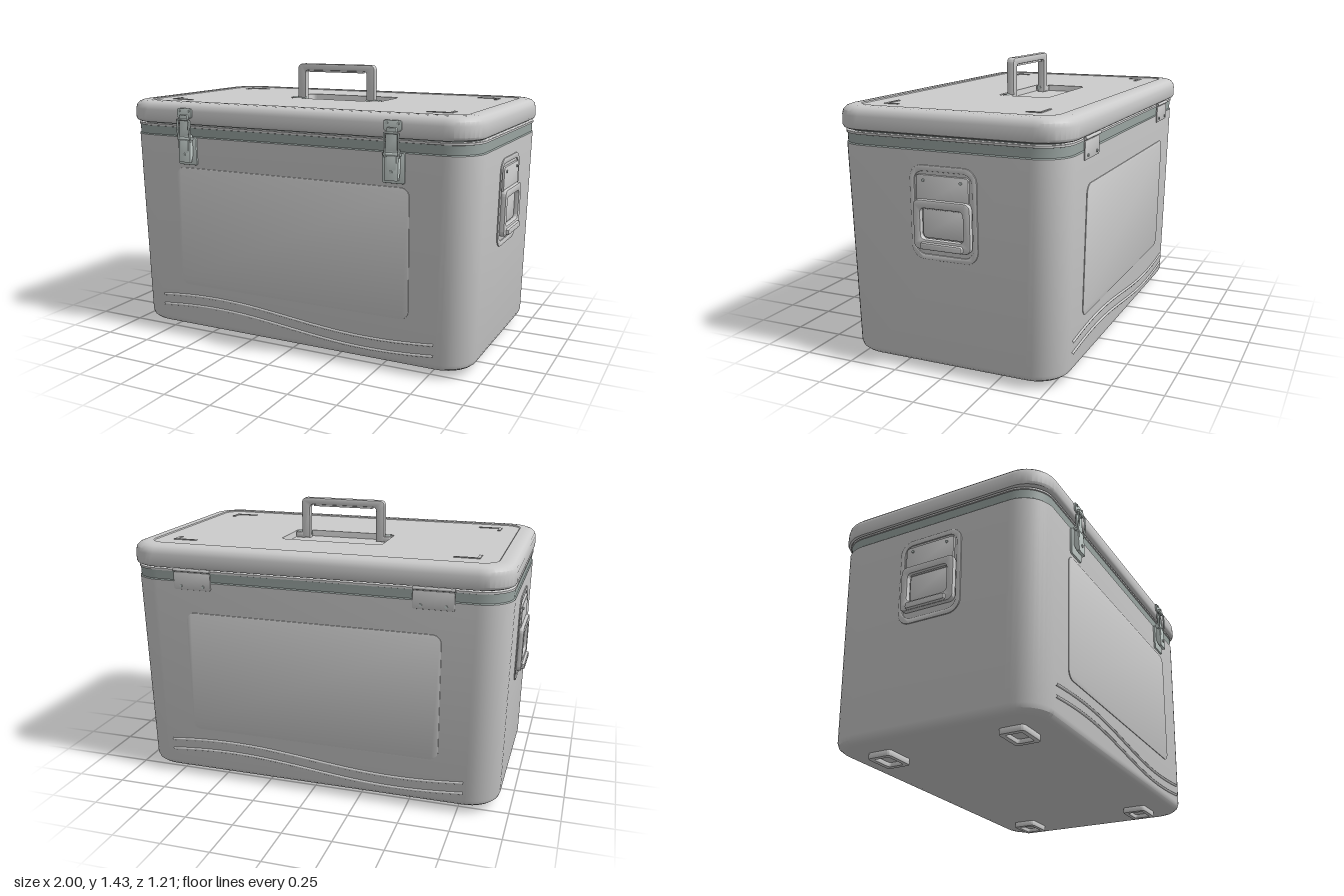
import * as THREE from 'three';
import { toCreasedNormals } from 'three/addons/utils/BufferGeometryUtils.js';

const grey = new THREE.MeshStandardMaterial({ color: 0xcccccc });
const bandGrey = new THREE.MeshStandardMaterial({ color: 0x9aa5a2 });
const metal = new THREE.MeshStandardMaterial({ color: 0xc4cecb });

function add(parent, name, geo, x = 0, y = 0, z = 0, mat = grey) {
  const mesh = new THREE.Mesh(geo, mat);
  mesh.name = name;
  mesh.position.set(x, y, z);
  parent.add(mesh);
  return mesh;
}

function group(parent, name, x = 0, y = 0, z = 0) {
  const g = new THREE.Group();
  g.name = name;
  g.position.set(x, y, z);
  parent.add(g);
  return g;
}

// rounded rectangle outline, centred on (cx, cy)
function roundRect(w, h, r, cx = 0, cy = 0, s = new THREE.Shape()) {
  const a = w / 2 - r, b = h / 2 - r;
  s.absarc(cx + a, cy + b, r, 0, Math.PI / 2);
  s.absarc(cx - a, cy + b, r, Math.PI / 2, Math.PI);
  s.absarc(cx - a, cy - b, r, Math.PI, Math.PI * 1.5);
  s.absarc(cx + a, cy - b, r, Math.PI * 1.5, Math.PI * 2);
  s.closePath();
  return s;
}

// bevelled plate standing on z = 0, with its outline kept at full size
function plate(shape, depth, bevel = 0.003) {
  const g = new THREE.ExtrudeGeometry(shape, {
    depth: depth - 2 * bevel, bevelThickness: bevel, bevelSize: bevel,
    bevelOffset: -bevel, bevelSegments: 2, curveSegments: 8,
  });
  g.translate(0, 0, bevel);
  return toCreasedNormals(g, 0.6);
}

// frame = rounded plate with a rounded opening
function frame(w, h, r, iw, ih, ir, depth, bevel, icy = 0) {
  const s = roundRect(w, h, r);
  s.holes.push(roundRect(iw, ih, ir, 0, icy, new THREE.Path()));
  return plate(s, depth, bevel);
}

// skin over rounded-rectangle rings [y, halfX, halfZ, radius]
function loft(rings, zc = 0, n = 10) {
  const pos = [], idx = [], m = 4 * (n + 1);
  for (const [y, hx, hz, r] of rings) {
    for (let c = 0; c < 4; c++) {
      const sx = c === 0 || c === 3 ? 1 : -1, sz = c < 2 ? 1 : -1;
      for (let i = 0; i <= n; i++) {
        const t = (c + i / n) * Math.PI / 2;
        pos.push(sx * (hx - r) + r * Math.cos(t), y, zc + sz * (hz - r) + r * Math.sin(t));
      }
    }
  }
  for (let k = 0; k < rings.length - 1; k++) {
    for (let j = 0; j < m; j++) {
      const a = k * m + j, b = k * m + (j + 1) % m;
      idx.push(a, a + m, b, b, a + m, b + m);
    }
  }
  const g = new THREE.BufferGeometry();
  g.setAttribute('position', new THREE.Float32BufferAttribute(pos, 3));
  g.setIndex(idx);
  return toCreasedNormals(g, 0.55);
}

function screw(parent, x, y, z, r = 0.007) {
  add(parent, 'screw', new THREE.CylinderGeometry(r, r, 0.006, 12).rotateX(Math.PI / 2), x, y, z, metal);
}

// group lying on one of the leaning walls: local z points outward
function wall(parent, name, angle, dist, tilt) {
  const g = group(parent, name, Math.sin(angle) * dist, 0, Math.cos(angle) * dist);
  g.rotation.set(tilt, angle, 0, 'YXZ');
  return g;
}

function longWall(parent, name, angle) {
  const g = wall(parent, name, angle, 0.551, 0.0213);
  add(g, 'wallPanel', plate(roundRect(1.305, 0.64, 0.045), 0.006, 0.002), 0, 0.59, -0.002);
  for (const y of [0.178, 0.122]) {
    const pts = [];
    for (let i = 0; i <= 16; i++) {
      const x = -0.78 + 1.56 * i / 16;
      pts.push(new THREE.Vector3(x, y - 0.032 * Math.sin(Math.PI * x / 0.9), 0.001));
    }
    add(g, 'waveRib', new THREE.TubeGeometry(new THREE.CatmullRomCurve3(pts), 48, 0.007, 8));
  }
  return g;
}

// drop handle with its mounting plate in a rounded surround
function sideHandle(parent, angle) {
  const g = group(wall(parent, 'sideWall', angle, 0.943, 0.0195), 'sideHandle', 0, 0.783, 0);
  add(g, 'surround', frame(0.34, 0.445, 0.065, 0.29, 0.39, 0.045, 0.008, 0.003), 0, 0, -0.002);
  add(g, 'mountPlate', plate(roundRect(0.265, 0.16, 0.015), 0.014), 0, 0.1, -0.002);
  for (const x of [-0.095, 0.095]) screw(g, x, 0.155, 0.014);
  add(g, 'handleRing', frame(0.29, 0.235, 0.03, 0.215, 0.145, 0.02, 0.03, 0.008, 0.005), 0, -0.05, 0);
  add(g, 'handlePad', plate(roundRect(0.21, 0.14, 0.018), 0.01), 0, -0.045, -0.002);
  add(g, 'gripBar', plate(roundRect(0.215, 0.034, 0.012), 0.045, 0.01), 0, -0.147, 0);
}

// over-centre latch: lid keeper, wire loop, base plate and curved lever
function latch(parent, x) {
  const g = group(parent, 'latch', x, 0, 0);
  add(g, 'keeper', plate(roundRect(0.09, 0.05, 0.012), 0.01), 0, 1.197, 0.59, metal);
  add(g, 'keeperHook', plate(roundRect(0.05, 0.022, 0.006), 0.018), 0, 1.178, 0.595, metal);
  for (const s of [-0.028, 0.028]) screw(g, s, 1.208, 0.602);
  const base = add(g, 'basePlate', plate(roundRect(0.112, 0.145, 0.01), 0.012), 0, 1.0, 0.57, metal);
  base.rotation.x = 0.0213;
  const side = new THREE.Shape();
  side.moveTo(0.578, 1.08);
  side.quadraticCurveTo(0.6, 1.1, 0.598, 1.09);
  side.quadraticCurveTo(0.612, 1.0, 0.61, 0.945);
  side.lineTo(0.594, 0.945);
  side.lineTo(0.578, 0.99);
  const lever = plate(side, 0.07).rotateY(-Math.PI / 2);
  add(g, 'lever', lever, 0.035, 0, 0, metal);
  add(g, 'leverFace', plate(roundRect(0.05, 0.1, 0.008), 0.006, 0.002), 0, 1.01, 0.603, metal);
  screw(g, 0, 0.985, 0.611, 0.008);
  const loop = [[-0.035, 1.05, 0.6], [-0.035, 1.1, 0.612], [-0.035, 1.165, 0.612], [0.035, 1.165, 0.612],
    [0.035, 1.1, 0.612], [0.035, 1.05, 0.6]].map(p => new THREE.Vector3(...p));
  const path = new THREE.CurvePath();
  for (let i = 0; i < 5; i++) path.add(new THREE.LineCurve3(loop[i], loop[i + 1]));
  add(g, 'wireLoop', new THREE.TubeGeometry(path, 60, 0.005, 8), 0, 0, 0, metal);
  add(g, 'loopPlate', plate(roundRect(0.066, 0.085, 0.008), 0.008), 0, 1.118, 0.592, metal);
  add(g, 'pivotPin', new THREE.CylinderGeometry(0.009, 0.009, 0.085, 12).rotateZ(Math.PI / 2), 0, 1.065, 0.598, metal);
}

export function createModel() {
  const root = new THREE.Group();
  root.name = 'coolBox';
  const box = group(root, 'box', 0, 0, -0.0125);

  // tapering tub with rounded bottom edge, colour band and recessed seal
  add(box, 'tub', loft([[0.03, 0, 0, 0], [0.03, 0.9, 0.505, 0.12], [0.036, 0.922, 0.53, 0.14],
    [0.05, 0.938, 0.546, 0.15], [0.07, 0.945, 0.5525, 0.155], [1.07, 0.964, 0.574, 0.155]]));
  add(box, 'band', loft([[1.07, 0.964, 0.574, 0.155], [1.075, 0.959, 0.569, 0.15], [1.122, 0.96, 0.57, 0.15]]), 0, 0, 0, bandGrey);
  add(box, 'tubRim', loft([[1.118, 0.958, 0.568, 0.15], [1.12, 0.965, 0.575, 0.155], [1.13, 0.965, 0.575, 0.155],
    [1.132, 0.96, 0.57, 0.15], [1.132, 0.9, 0.51, 0.1]]));
  add(box, 'seal', loft([[1.128, 0.945, 0.555, 0.14], [1.145, 0.945, 0.555, 0.14]]), 0, 0, 0, bandGrey);

  // lid with a stepped top panel and handle well
  const lid = group(box, 'lid');
  add(lid, 'lidShell', loft([[1.138, 0.9, 0.52, 0.1], [1.138, 0.955, 0.578, 0.145], [1.143, 0.964, 0.586, 0.15],
    [1.155, 0.97, 0.5925, 0.155], [1.205, 0.969, 0.5915, 0.155], [1.225, 0.964, 0.586, 0.15],
    [1.24, 0.95, 0.572, 0.14], [1.247, 0.932, 0.554, 0.13], [1.249, 0.91, 0.532, 0.11],
    [1.249, 0.885, 0.505, 0.085], [1.244, 0.88, 0.5, 0.08]]));
  const top = roundRect(1.76, 1.0, 0.08);
  top.holes.push(roundRect(0.54, 0.275, 0.03, 0, 0.085, new THREE.Path()));
  add(lid, 'lidPanel', new THREE.ShapeGeometry(top, 10).rotateX(-Math.PI / 2), 0, 1.244, 0);
  add(lid, 'handleWell', loft([[1.244, 0.27, 0.1375, 0.03], [1.214, 0.265, 0.1325, 0.026], [1.214, 0, 0, 0]], -0.085));

  // raised corner markers
  for (const sx of [-1, 1]) for (const sz of [-1, 1]) {
    const s = new THREE.Shape([[0, 0], [-0.125, 0], [-0.125, -0.014], [-0.016, -0.014], [-0.016, -0.075], [0, -0.075]]
      .map(([x, y]) => new THREE.Vector2(sx * x, sz * y)));
    add(lid, 'cornerMarker', plate(s, 0.006, 0.001).rotateX(-Math.PI / 2), sx * 0.79, 1.242, -sz * 0.403);
  }

  // carrying handle on the lid
  const handle = group(lid, 'topHandle', 0, 0, 0.0025);
  const u = new THREE.Shape();
  u.moveTo(-0.228, 1.215);
  u.lineTo(-0.228, 1.4); u.quadraticCurveTo(-0.228, 1.43, -0.198, 1.43);
  u.lineTo(0.198, 1.43); u.quadraticCurveTo(0.228, 1.43, 0.228, 1.4);
  u.lineTo(0.228, 1.215); u.lineTo(0.182, 1.215);
  u.lineTo(0.182, 1.375); u.quadraticCurveTo(0.182, 1.395, 0.162, 1.395);
  u.lineTo(-0.162, 1.395); u.quadraticCurveTo(-0.182, 1.395, -0.182, 1.375);
  u.lineTo(-0.182, 1.215);
  add(handle, 'handleBow', plate(u, 0.04, 0.006), 0, 0, -0.02);
  add(handle, 'handleGrip', new THREE.BoxGeometry(0.32, 0.012, 0.024), 0, 1.392, 0);
  for (const s of [-1, 1]) {
    add(handle, 'pivotBlock', plate(roundRect(0.055, 0.06, 0.01), 0.03).rotateX(-Math.PI / 2), s * 0.236, 1.214, 0.01);
    add(handle, 'pivotPin', new THREE.CylinderGeometry(0.012, 0.012, 0.08, 12).rotateZ(Math.PI / 2), s * 0.22, 1.238, 0.012, metal);
  }

  // panels, ribs, latches, hinges and side handles
  longWall(box, 'frontWall', 0);
  const back = longWall(box, 'backWall', Math.PI);
  for (const s of [-1, 1]) {
    latch(box, s * 0.575);
    const hinge = group(back, 'hinge', s * 0.61, 0, 0);
    add(hinge, 'hingeLeaf', plate(roundRect(0.2, 0.09, 0.01), 0.008), 0, 1.075, -0.002);
    for (const x of [-0.06, 0.06]) screw(hinge, x, 1.05, 0.008);
    add(hinge, 'hingeBarrel', new THREE.CylinderGeometry(0.008, 0.008, 0.2, 12).rotateZ(Math.PI / 2), 0, 1.13, 0.004);
    sideHandle(box, s * Math.PI / 2);

    // hollow feet
    for (const z of [-0.348, 0.348]) {
      const foot = group(box, 'foot', s * 0.713, 0, z);
      add(foot, 'footRim', frame(0.17, 0.13, 0.02, 0.115, 0.08, 0.01, 0.034, 0.006).rotateX(Math.PI / 2), 0, 0.034, 0);
      add(foot, 'footPad', plate(roundRect(0.12, 0.085, 0.01), 0.012).rotateX(Math.PI / 2), 0, 0.034, 0);
    }
  }
  return root;
}
